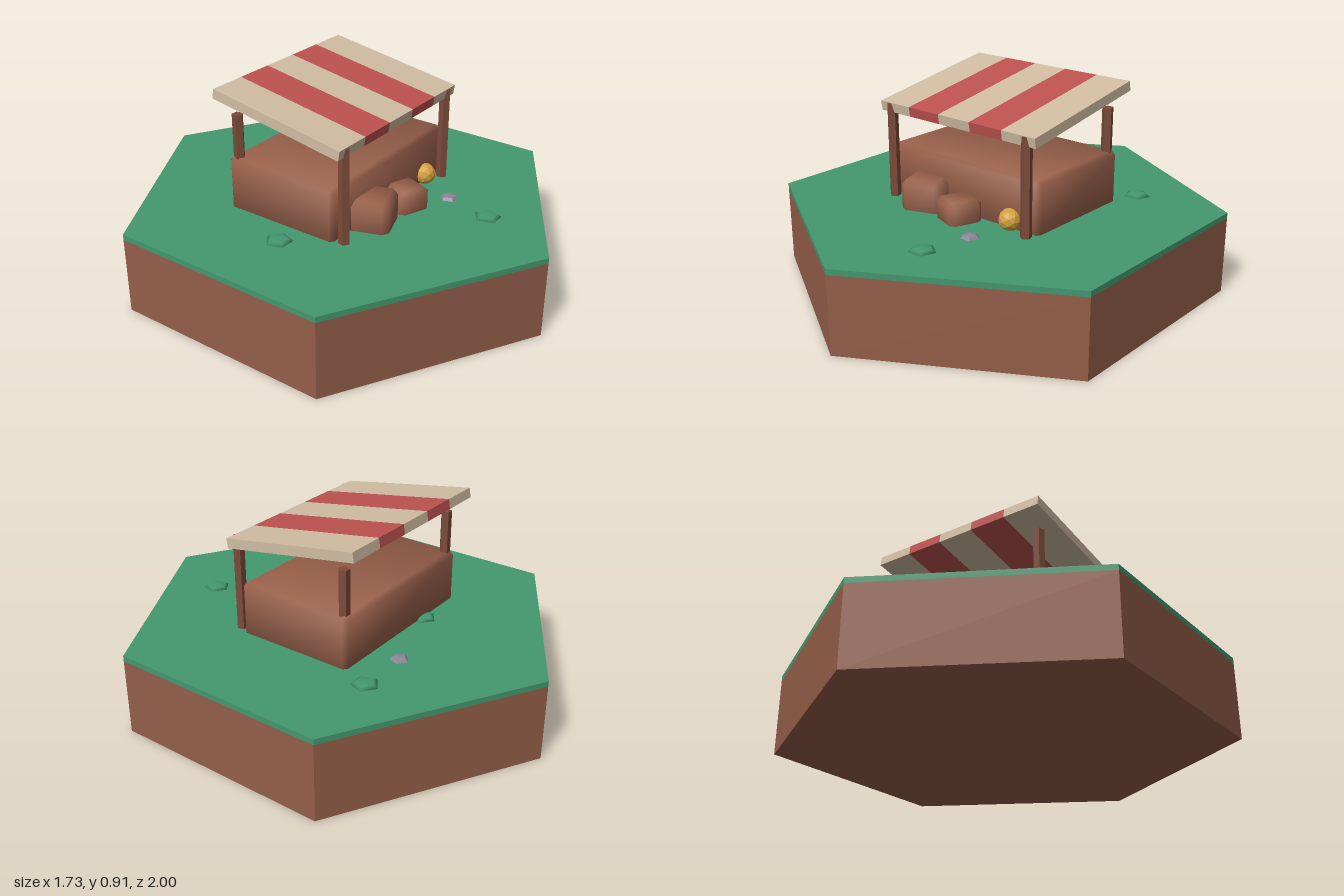
import * as THREE from 'three';
import { ConvexGeometry } from 'three/addons/geometries/ConvexGeometry.js';

const material = (name, color, flatShading = true) => {
  const m = new THREE.MeshStandardMaterial({ color, flatShading });
  m.name = name;
  return m;
};

// Box with chamfered edges and softly blended normals
function softBox(w, h, d, bevel) {
  const half = [w / 2, h / 2, d / 2];
  const points = [];
  for (const sx of [-1, 1]) for (const sy of [-1, 1]) for (const sz of [-1, 1]) {
    const signs = [sx, sy, sz];
    for (let axis = 0; axis < 3; axis++) {
      points.push(new THREE.Vector3(
        ...signs.map((s, i) => s * (half[i] - (i === axis ? 0 : bevel)))));
    }
  }
  const geometry = new ConvexGeometry(points);
  const pos = geometry.attributes.position;
  const normal = new THREE.Vector3();
  for (let i = 0; i < pos.count; i++) {
    const p = [pos.getX(i), pos.getY(i), pos.getZ(i)];
    normal.set(...p.map((v, k) =>
      Math.sign(v) * (Math.abs(v) > half[k] - bevel / 2 ? 2.3 : 1))).normalize();
    geometry.attributes.normal.setXYZ(i, normal.x, normal.y, normal.z);
  }
  return geometry;
}

export function createModel() {
  const earth = material('earth brown', 0x945e49);
  const crateWood = material('crate brown', 0x9a614b, false);
  const postWood = material('post brown', 0x7d4b3a);
  const grass = material('grass green', 0x43986f);
  const tuftGreen = material('tuft green', 0x43986f, false);
  const cream = material('cream cloth', 0xd0bca2);
  const red = material('red cloth', 0xbd5250);
  const gold = material('gold', 0xd4a140);
  const stone = material('stone grey', 0x8a8698);

  const model = new THREE.Group();
  const add = (name, geometry, mat, x, y, z, parent = model) => {
    const mesh = new THREE.Mesh(geometry, mat);
    mesh.name = name;
    mesh.position.set(x, y, z);
    parent.add(mesh);
    return mesh;
  };

  // Hexagonal ground tile
  add('earthBase', new THREE.CylinderGeometry(1, 1, 0.345, 6), earth, 0, 0.1725, 0);
  add('grassTop', new THREE.CylinderGeometry(1, 1, 0.025, 6), grass, 0, 0.3575, 0);

  // Counter and crates, sunk slightly into the grass
  add('counter', softBox(0.83, 0.25, 0.55, 0.018), crateWood, 0, 0.48, -0.035);
  const largeCrate = add('largeCrate', softBox(0.19, 0.19, 0.19, 0.024), crateWood, -0.174, 0.41, 0.267);
  largeCrate.rotation.y = 0.33;
  const smallCrate = add('smallCrate', softBox(0.15, 0.15, 0.15, 0.02), crateWood, 0.037, 0.392, 0.302);
  smallCrate.rotation.y = -0.35;

  // Four posts
  const postGeometry = new THREE.CylinderGeometry(0.025, 0.025, 0.44, 5);
  for (const x of [-0.38, 0.38]) for (const z of [-0.275, 0.275]) {
    add(z > 0 ? 'frontPost' : 'backPost', postGeometry, postWood, x, 0.58, z);
  }

  // Sloping striped awning
  const awning = new THREE.Group();
  awning.name = 'awning';
  awning.position.set(0, 0.834, -0.035);
  awning.rotation.x = 0.164;
  model.add(awning);
  const stripe = new THREE.BoxGeometry(0.1735, 0.044, 0.655);
  for (let i = 0; i < 5; i++) {
    add('awningStripe', stripe, i % 2 ? red : cream, (i - 2) * 0.1735, 0, 0, awning);
  }

  // Round gourd beside the counter
  add('gourd', new THREE.IcosahedronGeometry(0.049, 1), gold, 0.275, 0.414, 0.25);

  // Flattened five-sided mounds: grass tufts and pebbles
  const mound = (name, mat, radius, height, x, z) => {
    const mesh = add(name, new THREE.SphereGeometry(radius, 5, 4), mat, x, 0.37, z);
    mesh.scale.y = height / radius;
    mesh.rotation.y = -Math.PI / 2;
  };
  for (const [x, z] of [[0.45, -0.43], [-0.525, 0.05], [0.155, 0.64], [-0.16, -0.31]]) {
    mound('grassTuft', tuftGreen, 0.06, 0.016, x, z);
  }
  for (const z of [-0.43, 0.42]) mound('pebble', stone, 0.042, 0.017, 0.208, z);

  return model;
}
